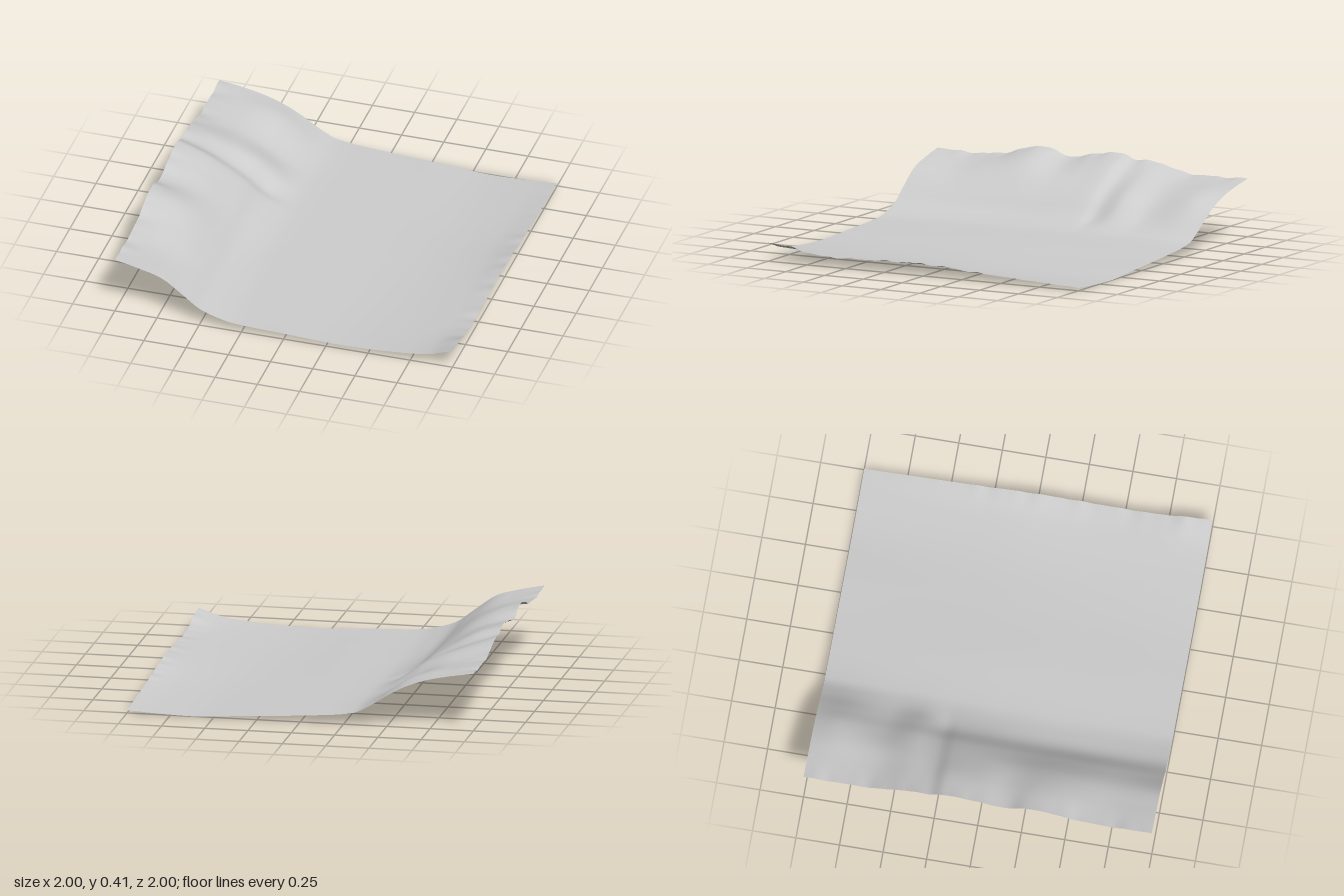
import * as THREE from 'three';

// Hillside cross-sections: heights at HILL_X for each depth in HILL_Z (back to front)
const HILL_X = [-1, -0.85, -0.72, -0.6, -0.5, -0.4, -0.3];
const HILL_Z = [-1, -0.85, -0.6, -0.42, -0.28, -0.2, -0.04, 0.13, 0.33, 0.55, 0.75, 1];
const HILL = [
  [0.335, 0.31, 0.28, 0.235, 0.18, 0.115, 0.068],
  [0.33, 0.31, 0.29, 0.25, 0.185, 0.115, 0.07],
  [0.335, 0.3, 0.265, 0.205, 0.145, 0.098, 0.068],
  [0.38, 0.335, 0.29, 0.235, 0.165, 0.1, 0.068],
  [0.385, 0.33, 0.27, 0.2, 0.125, 0.088, 0.066],
  [0.41, 0.36, 0.29, 0.215, 0.135, 0.09, 0.065],
  [0.4, 0.35, 0.285, 0.21, 0.13, 0.085, 0.063],
  [0.365, 0.33, 0.28, 0.2, 0.12, 0.08, 0.06],
  [0.41, 0.36, 0.29, 0.195, 0.112, 0.075, 0.058],
  [0.355, 0.325, 0.275, 0.19, 0.108, 0.073, 0.055],
  [0.335, 0.3, 0.26, 0.185, 0.108, 0.072, 0.053],
  [0.345, 0.31, 0.27, 0.185, 0.11, 0.072, 0.05],
];

// Plain cross-sections, with the rim turning up towards the front
const PLAIN_X = [0, 0.33, 0.6, 0.85, 1];
const PLAIN_Z = [-1, -0.4, 0, 0.65, 0.85, 1];
const PLAIN = [
  [0.038, 0.018, 0.001, 0.008, 0.017],
  [0.045, 0.022, 0.011, 0.022, 0.045],
  [0.046, 0.025, 0.02, 0.038, 0.07],
  [0.041, 0.025, 0.028, 0.045, 0.06],
  [0.038, 0.025, 0.031, 0.053, 0.093],
  [0.037, 0.025, 0.034, 0.06, 0.11],
];
const ALL_X = [...HILL_X, ...PLAIN_X];

// Smooth curve through unevenly spaced samples
function smooth(xs, ys, x) {
  const n = xs.length;
  let i = 0;
  while (i < n - 2 && x > xs[i + 1]) i++;
  const slope = (k) => {
    const a = Math.max(k - 1, 0), b = Math.min(k + 1, n - 1);
    return (ys[b] - ys[a]) / (xs[b] - xs[a]);
  };
  const h = xs[i + 1] - xs[i], t = (x - xs[i]) / h, t2 = t * t, t3 = t2 * t;
  return (2 * t3 - 3 * t2 + 1) * ys[i] + (t3 - 2 * t2 + t) * h * slope(i)
    + (3 * t2 - 2 * t3) * ys[i + 1] + (t3 - t2) * h * slope(i + 1);
}

const rowAt = (zs, rows, z) => rows[0].map((_, c) => smooth(zs, rows.map((r) => r[c]), z));

export function createModel() {
  const group = new THREE.Group();
  group.name = 'terrain';
  const grey = new THREE.MeshStandardMaterial({ color: 0xcccccc, side: THREE.DoubleSide });
  grey.name = 'light grey';

  // Land sheet: a grid lifted row by row
  const N = 120;
  const geometry = new THREE.PlaneGeometry(2, 2, N, N).rotateX(-Math.PI / 2);
  const pos = geometry.attributes.position;
  for (let j = 0; j <= N; j++) {
    const z = -1 + (2 * j) / N;
    const heights = [...rowAt(HILL_Z, HILL, z), ...rowAt(PLAIN_Z, PLAIN, z)];
    // Small ruffles along the two side rims
    const ruffle = 0.003 * Math.sin(z * 31) + 0.002 * Math.sin(z * 53 + 1);
    for (let i = 0; i <= N; i++) {
      const x = -1 + (2 * i) / N;
      const rim = Math.max(0, (Math.abs(x) - 0.85) / 0.15) ** 2;
      const y = smooth(ALL_X, heights, x) + rim * ruffle * (z > -0.4 || x < 0 ? 1 : 0.2);
      pos.setY(j * (N + 1) + i, Math.max(0, y));
    }
  }
  geometry.computeVertexNormals();

  const land = new THREE.Mesh(geometry, grey);
  land.name = 'landSurface';
  group.add(land);
  return group;
}
